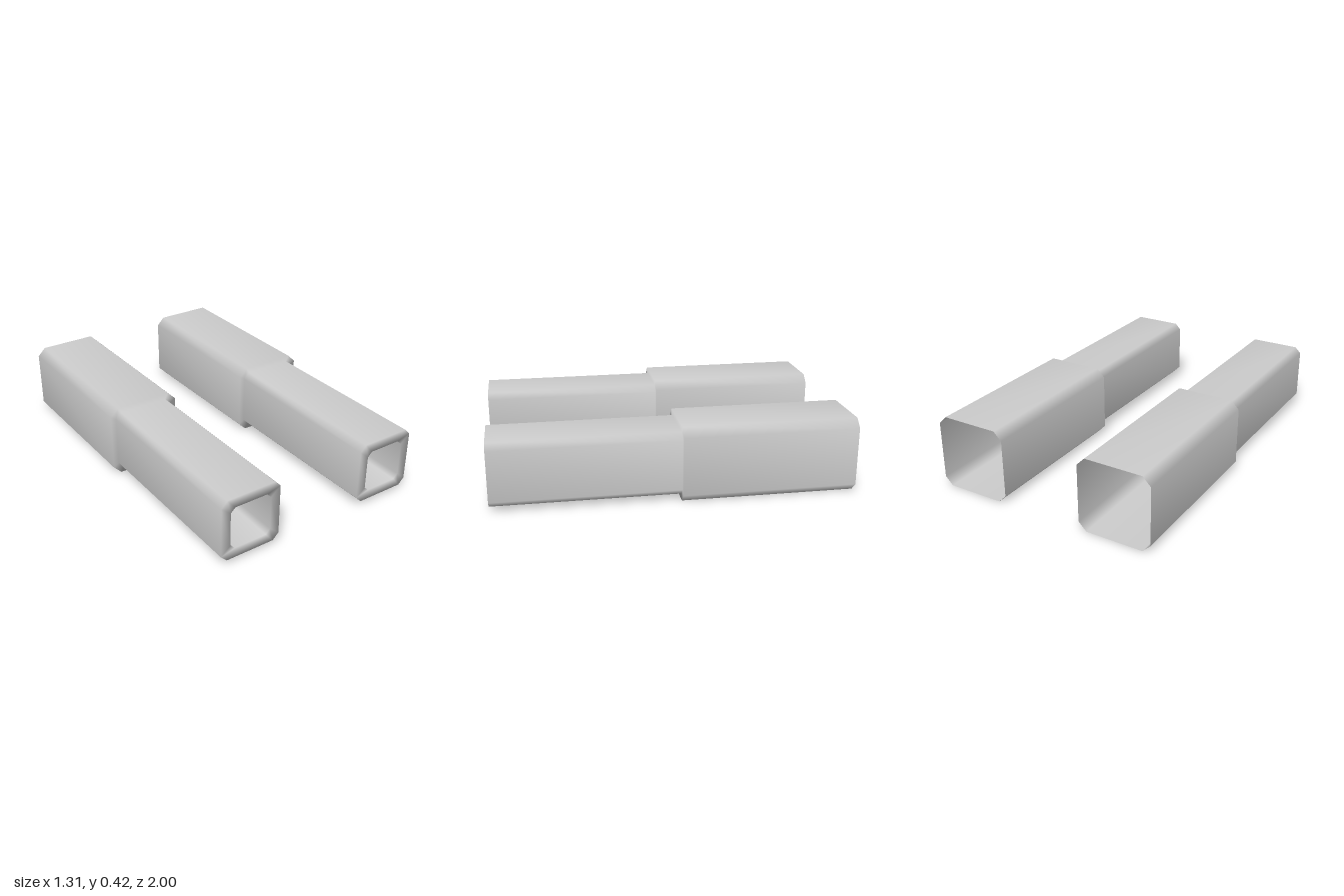
import * as THREE from 'three';

const CENTRE_Y = 0.211;

// Chamfered square cross-section, counter-clockwise seen from +z
function chamferedSquare(half, chamfer, z) {
  const k = half - chamfer;
  return [[-k, -half], [k, -half], [half, -k], [half, k], [k, half], [-k, half], [-half, k], [-half, -k]]
    .map(([x, y]) => [x, y + CENTRE_Y, z]);
}

// Joins the cross-sections into one smooth skin and closes the last one
function skin(sections) {
  const n = sections[0].length;
  const index = [];
  for (let s = 0; s < sections.length - 1; s++) {
    for (let i = 0; i < n; i++) {
      const j = (i + 1) % n;
      const a = s * n + i, b = s * n + j, c = b + n, d = a + n;
      index.push(a, b, c, a, c, d);
    }
  }
  const last = (sections.length - 1) * n;
  for (let i = 1; i < n - 1; i++) index.push(last, last + i, last + i + 1);

  const geometry = new THREE.BufferGeometry();
  geometry.setAttribute('position', new THREE.Float32BufferAttribute(sections.flat(2), 3));
  geometry.setIndex(index);
  geometry.computeVertexNormals();
  return geometry;
}

export function createModel() {
  const model = new THREE.Group();
  model.name = 'twinBarrels';

  const material = new THREE.MeshStandardMaterial({ color: 0xcccccc, side: THREE.DoubleSide });

  const geometry = skin([
    chamferedSquare(0.21, 0.046, -1),      // open back of the sleeve
    chamferedSquare(0.21, 0.046, -0.03),   // front of the sleeve
    chamferedSquare(0.178, 0.035, -0.03),  // step down to the barrel
    chamferedSquare(0.178, 0.035, 1),      // muzzle rim
    chamferedSquare(0.122, 0.026, 1),      // mouth of the bore
    chamferedSquare(0.122, 0.026, -0.03),  // closed end of the bore
  ]);

  for (const [name, side] of [['leftBarrel', 1], ['rightBarrel', -1]]) {
    const barrel = new THREE.Mesh(geometry, material);
    barrel.name = name;
    barrel.position.x = side * 0.445;
    model.add(barrel);
  }
  return model;
}
